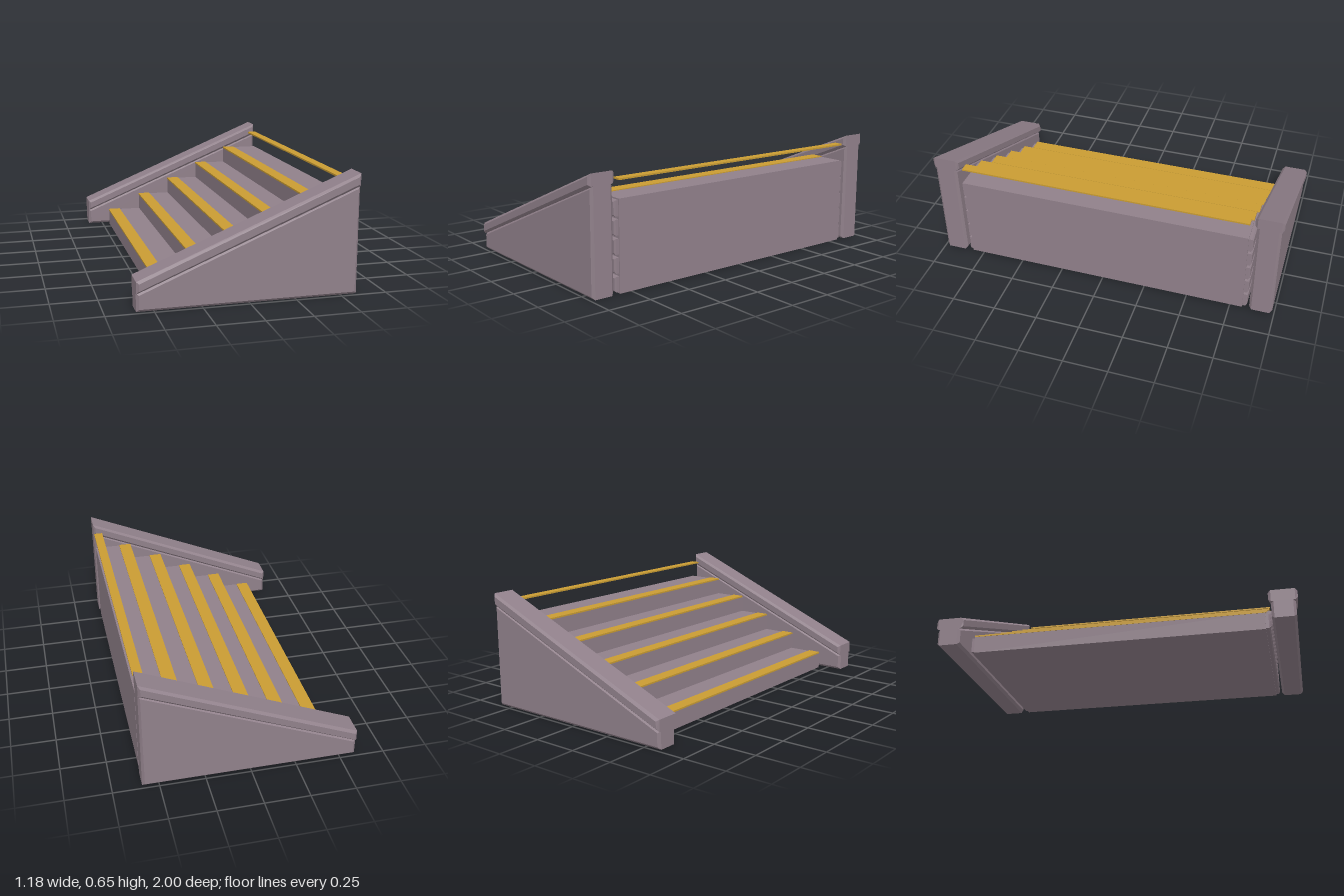
import * as THREE from 'three';

const paint = new THREE.MeshStandardMaterial({ name: 'mauve grey', color: 0x90808a });
const gold = new THREE.MeshStandardMaterial({ name: 'gold', color: 0xc99c33 });

const RISE = 0.1, BACK = 0.585, HALF = 0.82;
const stepX = [-0.455, -0.247, -0.044, 0.157, 0.358]; // front edge of each tread

// Bevelled slab: an xy outline extruded from z0 to z1, chamfered inwards
function slab(points, z0, z1, bevel) {
  const shape = new THREE.Shape(points.map(([x, y]) => new THREE.Vector2(x, y)));
  const geo = new THREE.ExtrudeGeometry(shape, {
    depth: z1 - z0 - 2 * bevel, bevelEnabled: bevel > 0, bevelSegments: 1,
    bevelSize: bevel, bevelThickness: bevel, bevelOffset: -bevel,
  });
  return geo.translate(0, 0, z0 + bevel);
}

function add(parent, name, geo, material) {
  const mesh = new THREE.Mesh(geo, material);
  mesh.name = name;
  parent.add(mesh);
  return mesh;
}

// Box given by its limits
function box(x0, x1, y0, y1, z0, z1) {
  return new THREE.BoxGeometry(x1 - x0, y1 - y0, z1 - z0)
    .translate((x0 + x1) / 2, (y0 + y1) / 2, (z0 + z1) / 2);
}

export function createModel() {
  const model = new THREE.Group();
  model.name = 'staircase';

  // Solid flight of steps
  const outline = [[BACK, 0]];
  outline.push([BACK, RISE * stepX.length]);
  for (let i = stepX.length - 1; i >= 0; i--) {
    outline.push([stepX[i], RISE * (i + 1)], [stepX[i], RISE * i]);
  }
  add(model, 'steps', slab(outline, -HALF, HALF, 0), paint);

  // Recessed end blocks and gold nosing strips
  stepX.forEach((x, i) => {
    const y = RISE * i;
    for (const s of [-1, 1]) {
      const block = slab([[x + 0.006, y + 0.008], [BACK - 0.006, y + 0.008],
        [BACK - 0.006, y + RISE - 0.008], [x + 0.006, y + RISE - 0.008]], -0.02, 0.02, 0.008);
      add(model, 'stepEnd', block.translate(0, 0, s * (HALF + 0.005)), paint);
    }
    add(model, 'nosing', box(x - 0.002, x + 0.072, y + RISE - 0.004, y + RISE + 0.005, -HALF, HALF), gold);
  });

  // Top nosing, level with the landing
  add(model, 'topNosing', box(0.538, 0.59, 0.595, 0.604, -HALF, HALF), gold);

  // Side walls with sloping caps
  for (const s of [-1, 1]) {
    const side = new THREE.Group();
    side.name = s > 0 ? 'frontSide' : 'backSide';
    const [w0, w1] = s > 0 ? [0.858, 0.988] : [-0.988, -0.858];
    const [c0, c1] = s > 0 ? [0.845, 1] : [-1, -0.845];
    add(side, 'sideWall', slab([[-0.59, 0], [0.59, 0], [0.59, 0.585], [-0.59, 0.097]], w0, w1, 0.014), paint);
    add(side, 'sideCap', slab([[-0.59, 0.095], [0.59, 0.583], [0.59, 0.65], [-0.59, 0.16]], c0, c1, 0.014), paint);
    model.add(side);
  }
  return model;
}
